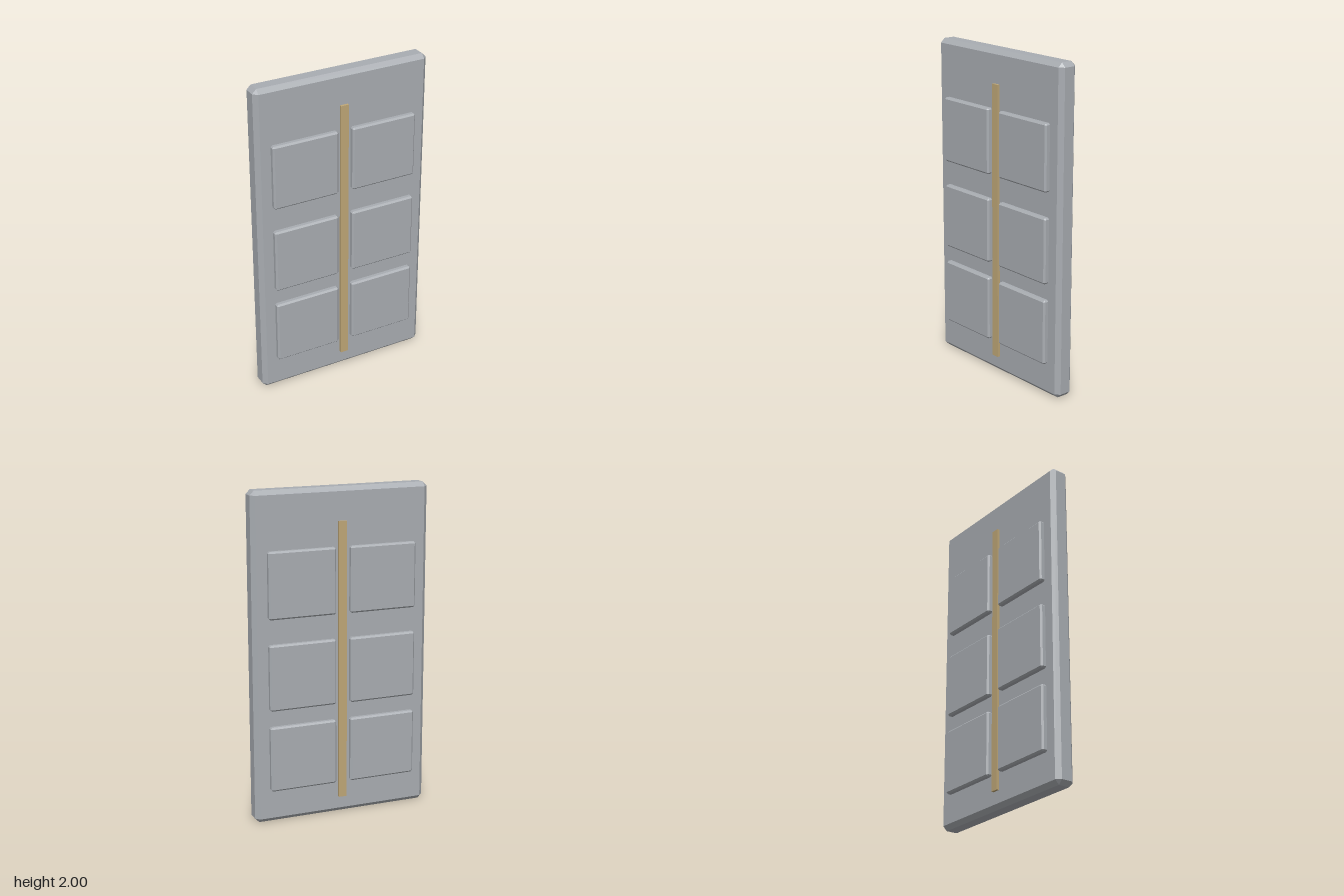
import * as THREE from 'three';
import { ConvexGeometry } from 'three/addons/geometries/ConvexGeometry.js';

// Box with every edge cut by a flat chamfer c
function chamferBox(w, h, d, c) {
  const points = [];
  for (const sx of [-1, 1]) for (const sy of [-1, 1]) for (const sz of [-1, 1]) {
    const x = w / 2, y = h / 2, z = d / 2;
    points.push(
      new THREE.Vector3(sx * x, sy * (y - c), sz * (z - c)),
      new THREE.Vector3(sx * (x - c), sy * y, sz * (z - c)),
      new THREE.Vector3(sx * (x - c), sy * (y - c), sz * z)
    );
  }
  return new ConvexGeometry(points);
}

export function createModel() {
  const group = new THREE.Group();
  const grey = new THREE.MeshStandardMaterial({ color: 0xa9adb2 });
  grey.name = 'stone grey';
  const brass = new THREE.MeshStandardMaterial({ color: 0xbfa777 });
  brass.name = 'dull brass';

  function add(name, geometry, material, x, y) {
    const mesh = new THREE.Mesh(geometry, material);
    mesh.name = name;
    mesh.position.set(x, y, 0);
    group.add(mesh);
  }

  // Door slab
  add('doorSlab', chamferBox(1.107, 2, 0.122, 0.026), grey, 0, 1);

  // Raised panels, passing through to both faces
  const panel = chamferBox(0.418, 0.4, 0.185, 0.01);
  const rows = [['lower', 0.402], ['middle', 0.902], ['upper', 1.453]];
  for (const [row, y] of rows) {
    add(row + 'LeftPanel', panel, grey, 0.255, y);
    add(row + 'RightPanel', panel, grey, -0.255, y);
  }

  // Central strip, showing on both faces
  add('centreStrip', new THREE.BoxGeometry(0.05, 1.7, 0.154), brass, 0, 0.952);

  return group;
}
